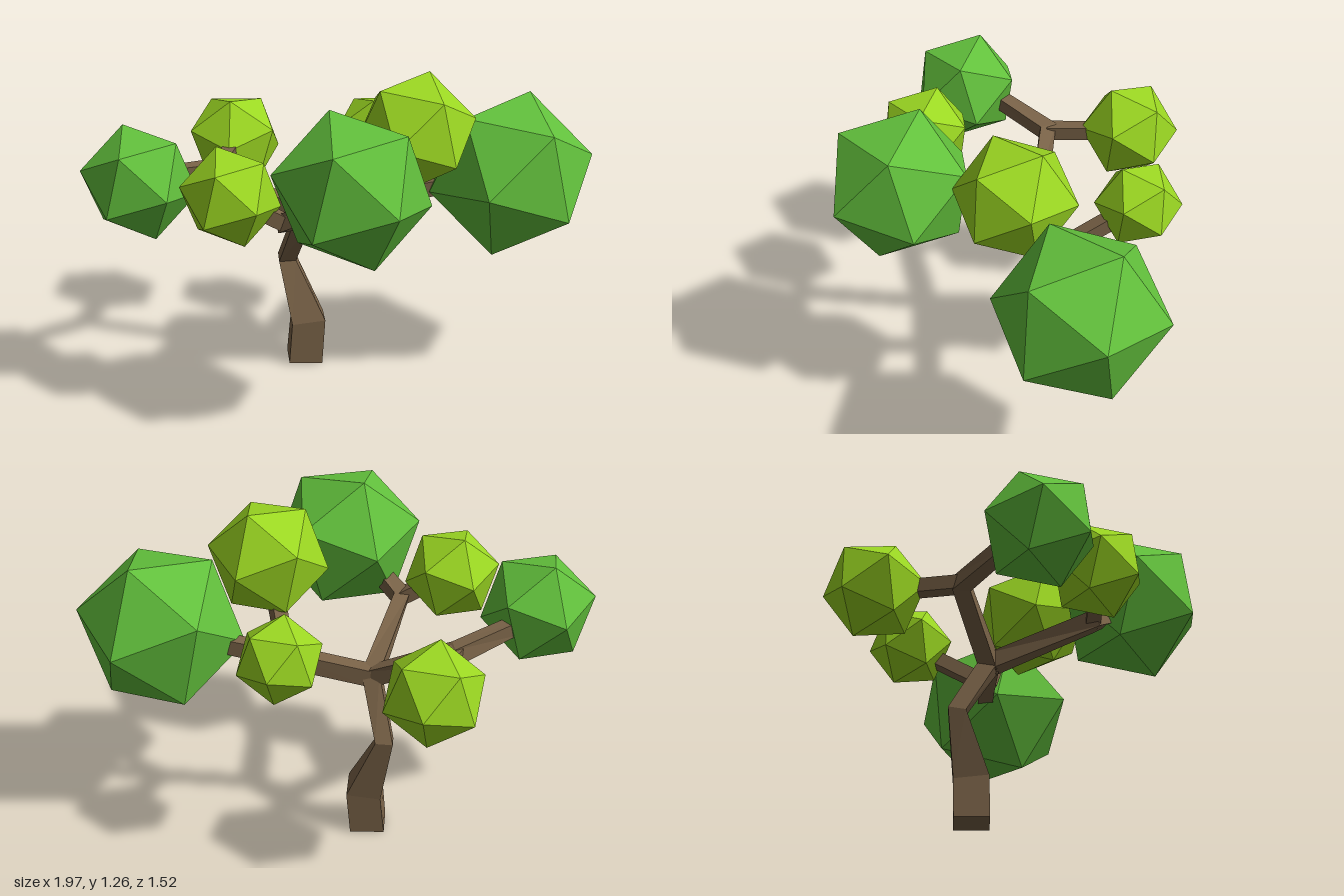
import * as THREE from 'three';

const V = (p) => new THREE.Vector3(...p);
const mat = (color) => new THREE.MeshStandardMaterial({ color, flatShading: true });

// Four-sided tapering limb: square rings swept along a path, closed at both ends
function limb(name, points, halfWidths, ref, material) {
  const path = points.map(V);
  const last = path.length - 1;
  const pos = [], idx = [];
  path.forEach((p, k) => {
    const t = new THREE.Vector3();
    if (k > 0) t.add(p.clone().sub(path[k - 1]).normalize());
    if (k < last) t.add(path[k + 1].clone().sub(p).normalize());
    t.normalize();
    const u = V(ref).cross(t).normalize();
    const w = t.clone().cross(u);
    for (const [a, b] of [[1, 1], [-1, 1], [-1, -1], [1, -1]]) {
      const c = p.clone().addScaledVector(u, a * halfWidths[k]).addScaledVector(w, b * halfWidths[k]);
      pos.push(c.x, Math.max(c.y, 0), c.z);
    }
    for (let i = 0; k < last && i < 4; i++) {
      const a = k * 4 + i, b = k * 4 + (i + 1) % 4;
      idx.push(a, b, b + 4, a, b + 4, a + 4);
    }
  });
  const e = last * 4;
  idx.push(0, 2, 1, 0, 3, 2, e, e + 1, e + 2, e, e + 2, e + 3);
  const g = new THREE.BufferGeometry();
  g.setAttribute('position', new THREE.Float32BufferAttribute(pos, 3));
  g.setIndex(idx);
  const flat = g.toNonIndexed();
  flat.computeVertexNormals();
  const mesh = new THREE.Mesh(flat, material);
  mesh.name = name;
  return mesh;
}

// Icosahedron turned so that two neighbouring corners point along a and b
function leafBall(name, centre, radius, [a, b], material) {
  const va = V(a).normalize(), vb = V(b).normalize();
  const z = va.clone().add(vb).normalize();
  const y = va.sub(vb).normalize();
  const x = y.clone().cross(z);
  const mesh = new THREE.Mesh(new THREE.IcosahedronGeometry(radius, 0), material);
  mesh.quaternion.setFromRotationMatrix(new THREE.Matrix4().makeBasis(x, y, z));
  mesh.position.set(...centre);
  mesh.name = name;
  return mesh;
}

export function createModel() {
  const tree = new THREE.Group();
  tree.name = 'tree';
  const bark = mat(0x7a6348), green = mat(0x62c03c), lime = mat(0x9bd722);

  // Crooked trunk, turned slightly about the vertical
  const fork = [-0.13, 0.645, -0.105];
  tree.add(limb('trunk',
    [[-0.11, 0.0, -0.165], [-0.095, 0.175, -0.165], [-0.16, 0.425, -0.235], fork],
    [0.067, 0.067, 0.034, 0.034], [-0.2, 0, 0.98], bark));

  // Three main branches, each splitting into two twigs
  const up = [0, 1, 0], side = [0.3, 0, 1];
  const rightKnot = [0.2, 0.72, -0.045], leftKnot = [-0.42, 0.82, -0.28], frontKnot = [-0.3, 0.79, 0.26];
  const w = 0.034, n = 0.028;
  for (const [name, points, widths, ref] of [
    ['leftBranch', [fork, rightKnot, [0.5, 0.78, 0.02]], [w, w, n], up],
    ['rightBranch', [fork, leftKnot, [-0.66, 0.86, -0.17]], [w, w, n], up],
    ['frontBranch', [fork, frontKnot, [-0.2, 0.88, 0.38]], [w, w, n], up],
    ['crownTwig', [rightKnot, [0.21, 0.83, 0.0], [0.23, 0.98, 0.11]], [w, n, n], side],
    ['backLeftTwig', [rightKnot, [0.24, 0.84, -0.28]], [n, n], up],
    ['backTwig', [leftKnot, [-0.31, 0.83, -0.48]], [n, n], up],
    ['frontRightTwig', [frontKnot, [-0.42, 0.86, 0.24]], [n, n], up],
  ]) tree.add(limb(name, points, widths, ref, bark));

  // Foliage: three shared orientations
  const poseA = [[0.11, 0.278, -0.095], [0.335, 0.07, 0.055]];
  const poseB = [[-0.05, 0.26, -0.115], [-0.08, 0.02, -0.285]];
  const poseC = [[-0.035, 0.175, 0.075], [-0.07, 0.02, 0.18]];
  for (const [name, centre, radius, pose, material] of [
    ['largeLeftFoliage', [0.665, 0.813, 0.09], 0.33, poseA, green],
    ['largeFrontFoliage', [-0.11, 0.975, 0.472], 0.298, poseB, green],
    ['rightFoliage', [-0.775, 0.883, -0.07], 0.224, poseB, green],
    ['crownFoliage', [0.24, 1.05, 0.155], 0.236, poseA, lime],
    ['frontRightFoliage', [-0.495, 0.902, 0.222], 0.19, poseB, lime],
    ['backFoliage', [-0.28, 0.83, -0.58], 0.197, poseC, lime],
    ['backLeftFoliage', [0.25, 0.878, -0.348], 0.168, poseC, lime],
  ]) tree.add(leafBall(name, centre, radius, pose, material));

  return tree;
}
